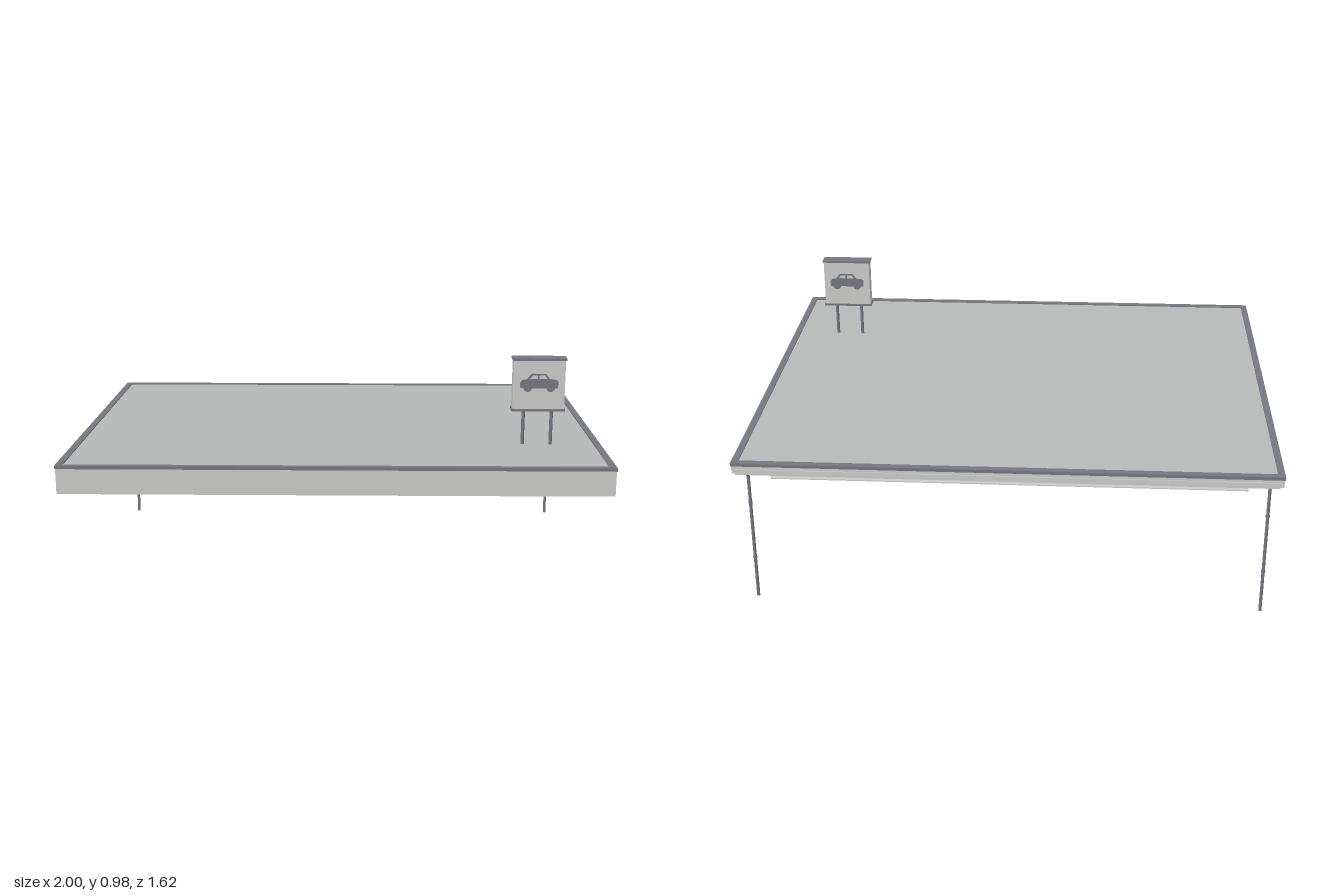
import * as THREE from 'three';

const paint = (name, color) => {
  const m = new THREE.MeshStandardMaterial({ color });
  m.name = name;
  return m;
};

// height of the sloping roof line at depth z
const roofY = (z) => 0.633 + 0.039 * z;

export function createModel() {
  const lightGrey = paint('lightGrey', 0xcacac8);
  const roofGrey = paint('roofGrey', 0xb6b8b7);
  const darkGrey = paint('darkGrey', 0x74777f);
  const lampTan = paint('lampTan', 0xcdb48c);

  const model = new THREE.Group();
  model.name = 'canopy';

  const add = (parent, name, geometry, material, x = 0, y = 0, z = 0) => {
    const mesh = new THREE.Mesh(geometry, material);
    mesh.name = name;
    mesh.position.set(x, y, z);
    parent.add(mesh);
    return mesh;
  };
  const box = (parent, name, material, x0, x1, y0, y1, z0, z1) =>
    add(parent, name, new THREE.BoxGeometry(x1 - x0, y1 - y0, z1 - z0), material,
      (x0 + x1) / 2, (y0 + y1) / 2, (z0 + z1) / 2);

  // box whose top follows the roof line; its bottom is level or follows the roof too
  const slopedBox = (name, material, x0, x1, z0, z1, top, bottom, levelBottom) => {
    const g = new THREE.BoxGeometry(x1 - x0, 1, z1 - z0);
    g.translate((x0 + x1) / 2, 0, (z0 + z1) / 2);
    const p = g.attributes.position;
    for (let i = 0; i < p.count; i++) {
      const line = roofY(p.getZ(i));
      p.setY(i, p.getY(i) > 0 ? line + top : levelBottom ? bottom : line + bottom);
    }
    g.computeVertexNormals();
    return add(model, name, g, material);
  };

  // canopy body, roof skin and dark edge trim
  const back = -0.795, front = 0.81, rim = 0.025;
  slopedBox('fascia', lightGrey, -0.997, 0.997, back + 0.003, front - 0.003, -0.011, 0.56, true);
  slopedBox('roofSkin', roofGrey, -0.98, 0.98, back + 0.02, front - 0.02, -0.004, -0.012);
  slopedBox('frontTrim', darkGrey, -1, 1, front - rim, front, 0, -0.012);
  slopedBox('backTrim', darkGrey, -1, 1, back, back + rim, 0, -0.012);
  for (const s of [-1, 1]) {
    const [a, b] = s < 0 ? [-1, -1 + rim] : [1 - rim, 1];
    slopedBox('sideTrim', darkGrey, a, b, back + rim, front - rim, 0, -0.012);
  }

  // gutter along the back, open at the top
  const gutter = new THREE.Group();
  gutter.name = 'gutter';
  model.add(gutter);
  box(gutter, 'gutterBase', lightGrey, -0.98, 0.98, 0.565, 0.569, -0.812, -0.79);
  box(gutter, 'gutterLip', lightGrey, -0.98, 0.98, 0.569, 0.587, -0.812, -0.808);

  // downpipes with an offset to the gutter
  for (const s of [-1, 1]) {
    const pipe = new THREE.Group();
    pipe.name = 'downpipe';
    pipe.position.x = s * 0.957;
    model.add(pipe);
    const path = new THREE.CurvePath();
    const pts = [[0, -0.72], [0.515, -0.72], [0.527, -0.726], [0.568, -0.802]]
      .map(([y, z]) => new THREE.Vector3(0, y, z));
    for (let i = 0; i < 3; i++) path.add(new THREE.LineCurve3(pts[i], pts[i + 1]));
    add(pipe, 'pipe', new THREE.TubeGeometry(path, 60, 0.006, 10), darkGrey);
    for (const y of [0.17, 0.405])
      add(pipe, 'pipeClip', new THREE.CylinderGeometry(0.008, 0.008, 0.008, 10), darkGrey, 0, y, -0.72);
  }

  // suspended ceiling panel with square lamps
  box(model, 'ceilingPanel', lightGrey, -0.885, 0.885, 0.484, 0.488, -0.68, 0.57);
  for (const x of [0.79, 0.527, 0.263, 0, -0.263, -0.79])
    for (const z of [0.47, 0.175, -0.135, -0.487])
      box(model, 'ceilingLamp', lampTan, x - 0.04, x + 0.04, 0.481, 0.484, z - 0.04, z + 0.04);

  // small fittings under the front edge
  for (const x of [-0.79, -0.263, 0.263, 0.79])
    box(model, 'edgeFitting', darkGrey, x - 0.006, x + 0.006, 0.557, 0.56, 0.74, 0.752);

  // roof sign
  const sign = new THREE.Group();
  sign.name = 'roofSign';
  sign.position.set(0.758, 0, 0.417);
  model.add(sign);
  box(sign, 'signBox', lightGrey, -0.097, 0.097, 0.786, 0.976, -0.024, 0.024);
  for (const y of [0.78, 0.974])
    box(sign, 'signCap', darkGrey, -0.101, 0.101, y, y + 0.008, -0.028, 0.028);
  for (const x of [-0.053, 0.053])
    add(sign, 'signPost', new THREE.CylinderGeometry(0.0065, 0.0065, 0.14, 12), darkGrey, x, 0.715, 0);

  // car pictogram on both faces
  const poly = (pts, Type = THREE.Shape) => new Type(pts.map(([x, y]) => new THREE.Vector2(x, y)));
  const car = poly([[-0.07, -0.021], [0.07, -0.021], [0.072, 0.004], [0.063, 0.011], [0.04, 0.014],
    [0.025, 0.034], [-0.03, 0.034], [-0.045, 0.014], [-0.065, 0.01], [-0.072, 0]]);
  car.holes.push(
    poly([[-0.036, 0.014], [-0.025, 0.028], [-0.006, 0.028], [-0.006, 0.014]], THREE.Path),
    poly([[0, 0.014], [0, 0.028], [0.021, 0.028], [0.031, 0.014]], THREE.Path));
  const carGeometry = new THREE.ExtrudeGeometry(car, { depth: 0.003, bevelEnabled: false });
  const wheelGeometry = new THREE.CylinderGeometry(0.016, 0.016, 0.004, 20).rotateX(Math.PI / 2);
  for (const turn of [0, Math.PI]) {
    const picture = new THREE.Group();
    picture.name = 'carPictogram';
    picture.rotation.y = turn;
    sign.add(picture);
    add(picture, 'carBody', carGeometry, darkGrey, 0, 0.89, 0.024);
    for (const x of [-0.043, 0.043])
      add(picture, 'carWheel', wheelGeometry, darkGrey, x, 0.871, 0.026);
  }
  return model;
}
